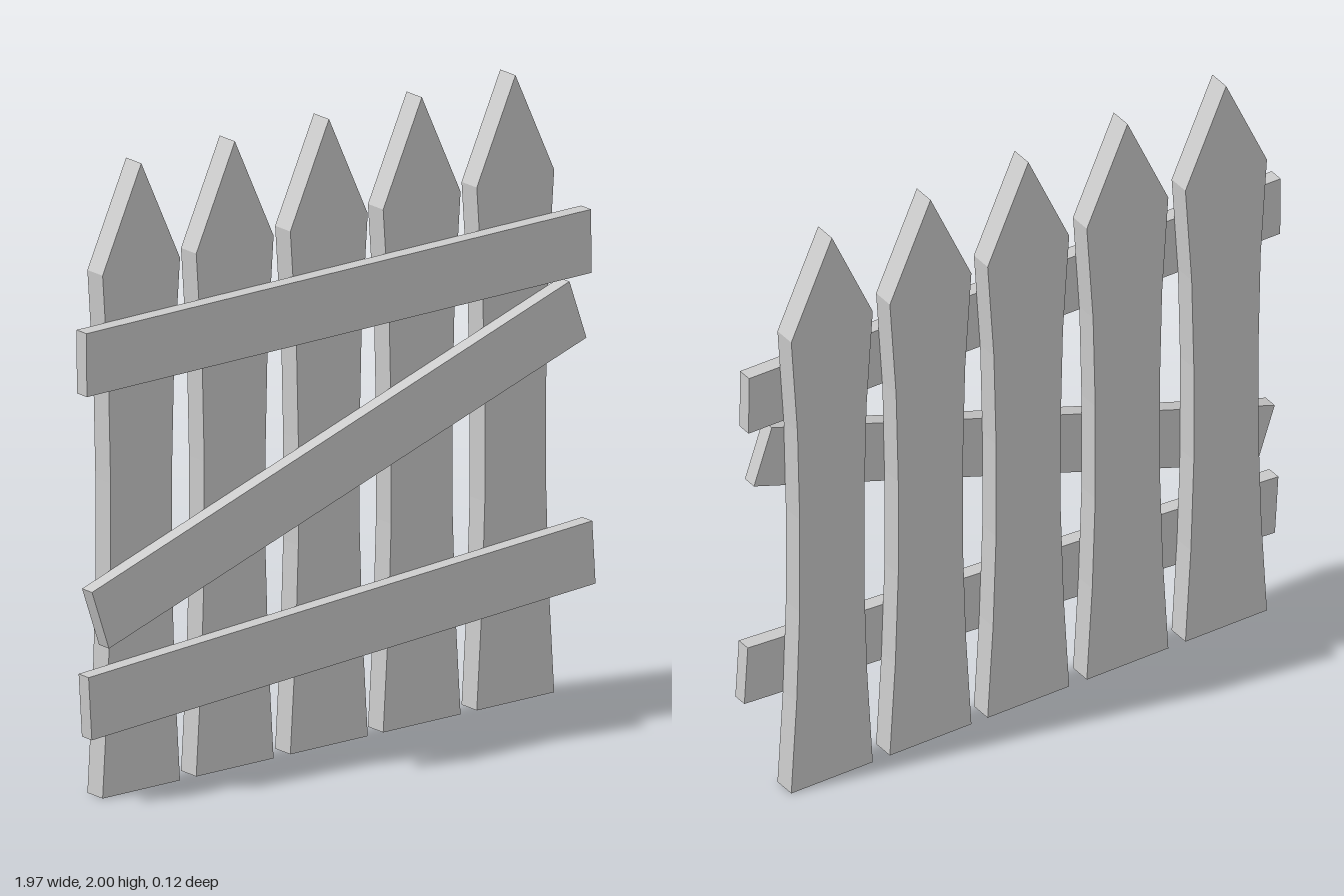
import * as THREE from 'three';

const BACK = -0.062, JOIN = 0.013, FRONT = 0.062;

export function createModel() {
  const fence = new THREE.Group();
  fence.name = 'picketFence';
  const material = new THREE.MeshStandardMaterial({ color: 0xcccccc, flatShading: true });

  // Picket outline: [half width, height], waisted in the middle, pointed on top
  const side = [[0.15, 0], [0.13, 0.33], [0.119, 0.66], [0.119, 1], [0.127, 1.33], [0.15, 1.67]];
  const outline = [
    ...side.map(([x, y]) => new THREE.Vector2(x, y)),
    new THREE.Vector2(0, 2),
    ...side.map(([x, y]) => new THREE.Vector2(-x, y)).reverse(),
  ];
  const picketGeometry = new THREE.ExtrudeGeometry(new THREE.Shape(outline), {
    depth: JOIN - BACK, bevelEnabled: false,
  });

  // Five upright pickets
  [-0.739, -0.376, -0.011, 0.349, 0.712].forEach((x, i) => {
    const picket = new THREE.Mesh(picketGeometry, material);
    picket.name = `picket${i + 1}`;
    picket.position.set(x, 0, BACK);
    fence.add(picket);
  });

  // Three crooked rails nailed across the front
  const railGeometry = new THREE.BoxGeometry(1.957, 0.203, FRONT - JOIN);
  const addRail = (name, x, y, tilt) => {
    const rail = new THREE.Mesh(railGeometry, material);
    rail.name = name;
    rail.position.set(x, y, (JOIN + FRONT) / 2);
    rail.rotation.z = tilt;
    fence.add(rail);
  };
  addRail('topRail', -0.011, 1.424, 0.009);
  addRail('diagonalRail', -0.01, 0.907, 0.33);
  addRail('bottomRail', 0.001, 0.376, 0.0624);

  return fence;
}
